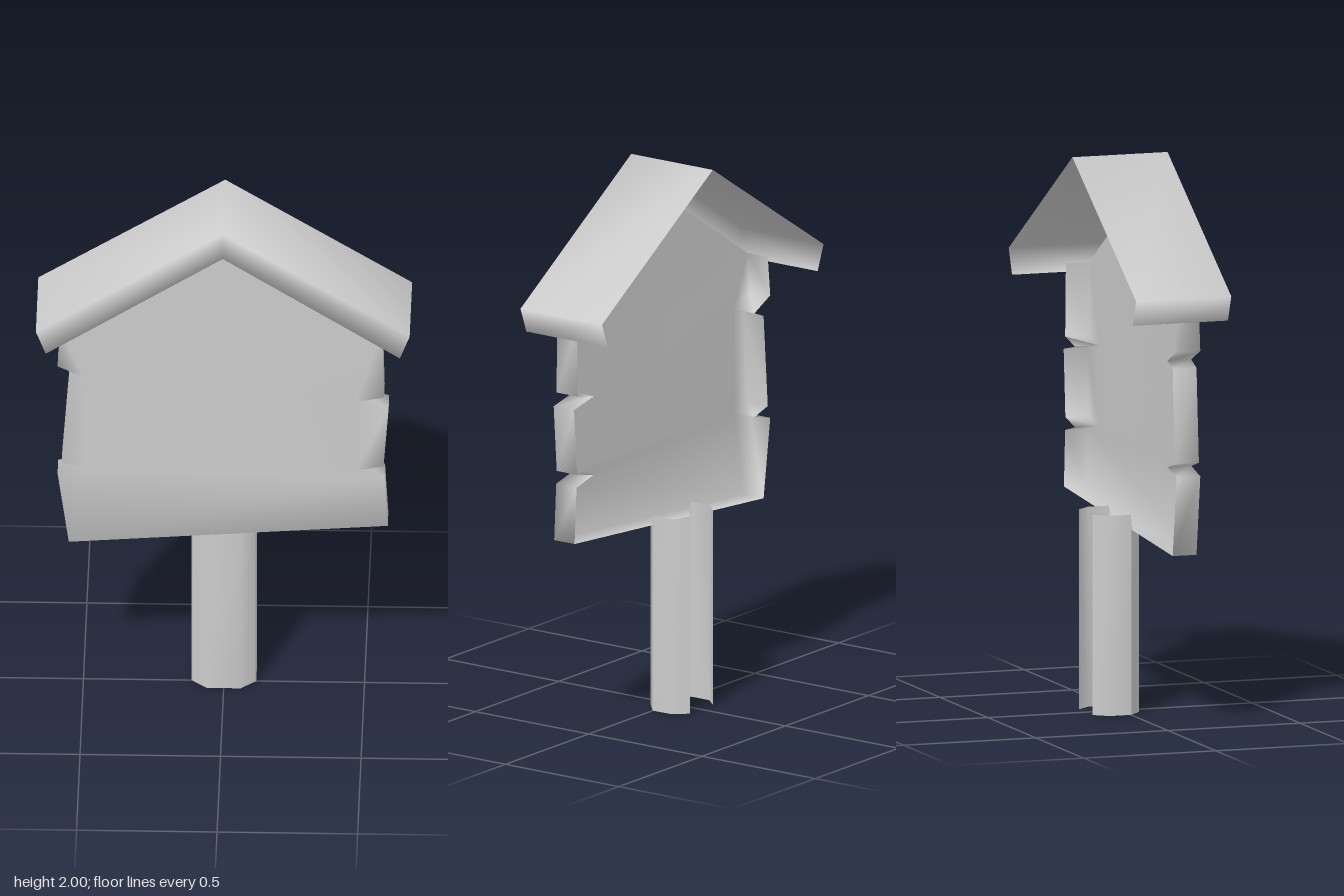
import * as THREE from 'three';

const gray = new THREE.MeshStandardMaterial({ color: 0xcccccc, side: THREE.DoubleSide });
gray.name = 'plain gray';

// Smooth-shaded mesh with shared vertices
function surface(name, positions, index) {
  const g = new THREE.BufferGeometry();
  g.setAttribute('position', new THREE.Float32BufferAttribute(positions, 3));
  g.setIndex(index);
  g.computeVertexNormals();
  const mesh = new THREE.Mesh(g, gray);
  mesh.name = name;
  return mesh;
}

// Open-backed shell: a front face plus walls; depth(i) is the back z of the wall
// on edge i, or null where there is no wall. Outline runs counter-clockwise.
function shell(name, outline, zFront, depth) {
  const n = outline.length;
  const pts = outline.map(([x, y]) => new THREE.Vector2(x, y));
  const pos = outline.flatMap(([x, y]) => [x, y, zFront]);
  const index = THREE.ShapeUtils.triangulateShape(pts, []).flat();
  const backs = new Map();
  const back = (i, z) => {
    const key = i + '/' + z;
    if (!backs.has(key)) {
      backs.set(key, pos.length / 3);
      pos.push(outline[i][0], outline[i][1], z);
    }
    return backs.get(key);
  };
  for (let i = 0; i < n; i++) {
    const z = depth(i);
    if (z === null) continue;
    const j = (i + 1) % n;
    const a = back(i, z), b = back(j, z);
    index.push(i, a, b, i, b, j);
  }
  return surface(name, pos, index);
}

export function createModel() {
  const model = new THREE.Group();
  model.name = 'signpost';

  // Notched board, open behind; its two top edges tuck under the roof
  const board = [
    [-0.55, 0.635], [0.585, 0.72],
    [0.573, 0.925], [0.47, 0.95], [0.57, 0.972],
    [0.588, 1.215], [0.47, 1.24], [0.572, 1.262],
    [0.565, 1.527], [0, 1.895], [-0.575, 1.521],
    [-0.59, 1.375], [-0.495, 1.33], [-0.55, 1.308],
    [-0.575, 0.97], [-0.497, 0.947], [-0.59, 0.923],
  ];
  model.add(shell('board', board, 0.09, i => (i === 8 || i === 9 ? null : 0)));

  // Gabled roof: full-depth slopes and eaves, underside only in front of the board
  const roof = [
    [0.665, 1.577], [0, 2], [-0.665, 1.577],
    [-0.63, 1.485], [0, 1.895], [0.63, 1.485],
  ];
  model.add(shell('roof', roof, 0.18, i => (i === 3 || i === 4 ? 0.09 : -0.18)));

  // Eight-sided post without a back face; the front stops under the board
  const half = [[0.06, 0.05], [0.11, 0.005], [0.115, 0], [0.115, -0.08], [0.07, -0.13]];
  const section = [...half.map(([x, z]) => [-x, z]).reverse(), ...half];
  const pos = [], index = [];
  section.forEach(([x, z], i) => {
    const top = z > 0 ? 0.635 + (x + 0.55) * 0.075 : 0.72;
    pos.push(x, 0, z, x, top, z);
    if (i > 0) {
      const a = 2 * (i - 1);
      index.push(a, a + 2, a + 3, a, a + 3, a + 1);
    }
  });
  model.add(surface('post', pos, index));

  return model;
}
